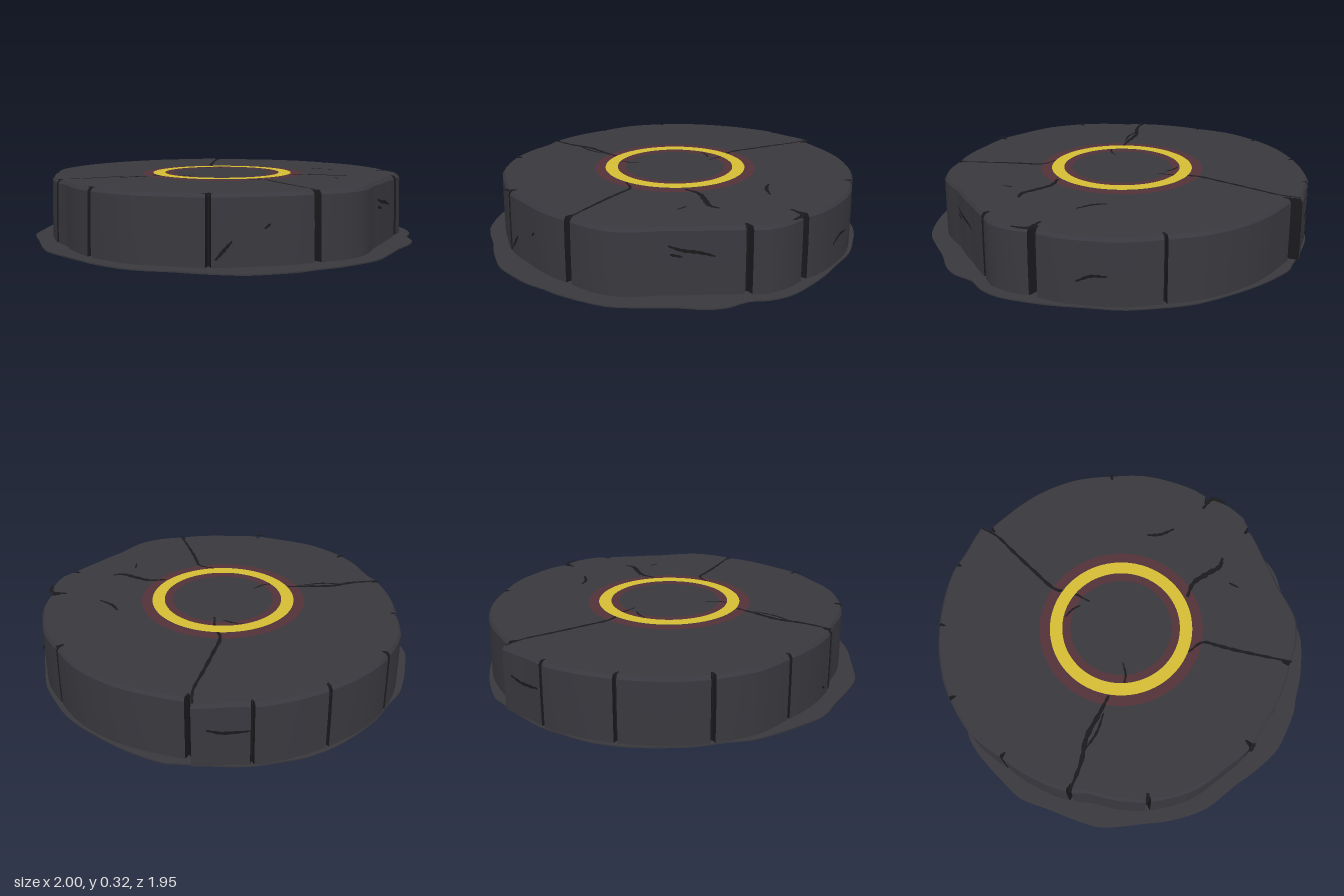
import * as THREE from 'three';
import { toCreasedNormals } from 'three/addons/utils/BufferGeometryUtils.js';

const mat = (name, color, side = THREE.FrontSide) => {
  const m = new THREE.MeshStandardMaterial({ color, side });
  m.name = name;
  return m;
};

// Outlines seen from above: x, z pairs in hundredths
const SKIRT = [-8, -98, 14, -97, 30, -92, 45, -87, 58, -81, 68, -75, 75, -67, 79, -58, 87, -50, 91, -41, 93, -29, 97, -15,
  100, 0, 97, 20, 93, 32, 90, 42, 83, 55, 77, 63, 64, 73, 54, 79, 38, 90, 20, 95, 6, 96, -12, 97, -21, 96, -34, 91,
  -45, 86, -59, 80, -69, 70, -77, 61, -85, 50, -89, 39, -95, 25, -98, 12, -100, -3, -99, -19, -95, -32, -90, -45,
  -80, -60, -72, -70, -67, -76, -50, -86, -32, -93, -18, -97];
const DRUM = [-3, -95.5, 16, -95, 32, -90, 43, -85, 52, -78, 62, -73, 70, -65, 73, -55, 78, -40, 84, -21, 91.5, -2,
  90, 11, 85.5, 22, 80.5, 35, 71, 50, 60, 65, 46, 75, 30, 85, 7, 89.5, -9, 88, -21, 84, -31, 83, -48, 76, -65, 64,
  -81, 51, -90, 36, -95, 24, -98, 8, -98.5, -5, -97, -21, -92, -40, -85, -51, -79, -63, -77, -66, -72, -65, -64, -72,
  -45, -86, -24, -94];
const toPoints = (a) => Array.from({ length: a.length / 2 }, (_, i) => new THREE.Vector2(a[2 * i] / 100, a[2 * i + 1] / 100));

// Radius of the drum outline at any angle
const polar = toPoints(DRUM).map((p) => [Math.atan2(p.y, p.x), p.length()]).sort((a, b) => a[0] - b[0]);
function radiusAt(t) {
  const a = Math.atan2(Math.sin(t), Math.cos(t)), n = polar.length;
  let i = polar.findIndex((p) => p[0] > a);
  if (i < 0) i = n;
  const p = polar[(i - 1 + n) % n], q = polar[i % n];
  const span = (q[0] - p[0] + 2 * Math.PI) % (2 * Math.PI);
  const f = ((a - p[0] + 2 * Math.PI) % (2 * Math.PI)) / span;
  return p[1] + (q[1] - p[1]) * f;
}

// Vertical grooves in the wall: x, z, half angle, depth
const GROOVES = [[-0.32, 0.83, 0.016, 0.03], [0.07, 0.9, 0.014, 0.03], [0.6, 0.65, 0.014, 0.03], [0.855, 0.23, 0.02, 0.035],
  [0.73, -0.57, 0.016, 0.03], [0.52, -0.78, 0.022, 0.04], [-0.03, -0.95, 0.009, 0.025], [-0.74, -0.655, 0.018, 0.04],
  [-0.98, -0.08, 0.009, 0.02], [-0.92, 0.33, 0.012, 0.025], [-0.65, 0.64, 0.01, 0.02], [-0.9, -0.43, 0.009, 0.02]]
  .map(([x, z, w, d]) => ({ t: Math.atan2(z, x), w, d }));

function drumRing() {
  const ring = [];
  for (let i = 0; i < 110; i++) {
    const t = -Math.PI + (i / 110) * 2 * Math.PI;
    if (GROOVES.every((g) => Math.abs(t - g.t) > g.w * 1.3)) ring.push({ t, r: radiusAt(t), cut: false });
  }
  for (const g of GROOVES) {
    for (const k of [-1, -0.35, 0.35, 1]) {
      const t = g.t + k * g.w;
      ring.push({ t, r: radiusAt(t) - (Math.abs(k) < 1 ? g.d : 0), cut: k < 1 });
    }
  }
  return ring.sort((a, b) => a.t - b.t);
}

// Wall rows (inset, height), with a worn bevel at the top
const ROWS = [[0, 0.006], [0.003, 0.16], [0.008, 0.305], [0.02, 0.321]];
function drumGeometries() {
  const ring = drumRing(), wall = [], cuts = [], top = [];
  const at = (p, [inset, y]) => [(p.r - inset) * Math.cos(p.t), y, (p.r - inset) * Math.sin(p.t)];
  ring.forEach((p, i) => {
    const q = ring[(i + 1) % ring.length], out = p.cut ? cuts : wall;
    for (let k = 0; k < ROWS.length - 1; k++) {
      const a = at(p, ROWS[k]), b = at(q, ROWS[k]), c = at(q, ROWS[k + 1]), d = at(p, ROWS[k + 1]);
      out.push(...a, ...d, ...c, ...a, ...c, ...b);
    }
    top.push(0, 0.321, 0, ...at(q, ROWS[3]), ...at(p, ROWS[3]));
  });
  return [wall, cuts, top].map((v) => {
    const g = new THREE.BufferGeometry();
    g.setAttribute('position', new THREE.Float32BufferAttribute(v, 3));
    return toCreasedNormals(g, 0.45);
  });
}

// Flat tapering strip along a path; place maps path points into space
function strip(path, width, place) {
  const curve = new THREE.CatmullRomCurve3(path.map(([u, v]) => new THREE.Vector3(u, v, 0)));
  const n = path.length * 4, pos = [], idx = [];
  for (let i = 0; i <= n; i++) {
    const p = curve.getPoint(i / n), t = curve.getTangent(i / n);
    const w = width * (0.15 + 0.85 * Math.sin(Math.PI * (0.12 + 0.76 * (i / n)))) * (0.8 + 0.2 * Math.sin(i * 2.3)) / 2;
    pos.push(...place(p.x - t.y * w, p.y + t.x * w), ...place(p.x + t.y * w, p.y - t.x * w));
    if (i < n) idx.push(2 * i, 2 * i + 1, 2 * i + 2, 2 * i + 1, 2 * i + 3, 2 * i + 2);
  }
  const g = new THREE.BufferGeometry();
  g.setAttribute('position', new THREE.Float32BufferAttribute(pos, 3));
  g.setIndex(idx);
  g.computeVertexNormals();
  return g;
}

// Cracks on the top face: width, then x, z points
const CRACKS = [
  [0.022, [-0.76, -0.64], [-0.68, -0.59], [-0.58, -0.48], [-0.47, -0.36], [-0.36, -0.25], [-0.28, -0.23], [-0.18, -0.17]],
  [0.034, [0.34, -0.17], [0.38, -0.25], [0.46, -0.3], [0.53, -0.34], [0.55, -0.39]],
  [0.022, [0.32, 0.14], [0.4, 0.09], [0.47, 0.11], [0.56, 0.14], [0.7, 0.18], [0.85, 0.22]],
  [0.03, [-0.1, 0.35], [-0.15, 0.44], [-0.22, 0.56], [-0.25, 0.68], [-0.31, 0.82]],
  [0.016, [-0.13, 0.44], [-0.17, 0.54], [-0.23, 0.62]],
  [0.014, [-0.02, 0.18], [-0.01, 0.25], [-0.03, 0.32]],
  [0.014, [-0.31, -0.09], [-0.27, -0.13], [-0.23, -0.15]],
  [0.022, [0.15, -0.55], [0.22, -0.55], [0.3, -0.58]],
  [0.014, [0.57, -0.24], [0.62, -0.21]],
  [0.03, [0.47, -0.7], [0.53, -0.76], [0.6, -0.73]],
  [0.02, [-0.03, -0.95], [-0.025, -0.91]],
  [0.025, [0.58, 0.67], [0.61, 0.63]],
  [0.02, [0.06, 0.89], [0.07, 0.85]],
  [0.015, [-0.97, -0.08], [-0.94, -0.07]],
];
// Scratches on the wall: width, then angle, height points
const SCRATCHES = [
  [0.02, [-0.27, 0.24], [-0.34, 0.22], [-0.42, 0.21], [-0.5, 0.19]],
  [0.016, [-0.28, 0.2], [-0.34, 0.19]],
  [0.02, [0.79, 0.04], [0.75, 0.08], [0.71, 0.12]],
  [0.014, [0.52, 0.19], [0.55, 0.17]],
  [0.014, [2.02, 0.05], [2.06, 0.07]],
  [0.02, [-2.5, 0.2], [-2.58, 0.18], [-2.68, 0.19]],
  [0.018, [-1.2, 0.12], [-1.27, 0.15], [-1.34, 0.15]],
];

export function createModel() {
  const model = new THREE.Group();
  model.name = 'stonePlatform';
  const stone = mat('dark stone', 0x38383e);
  const shadow = mat('crack black', 0x1a1a1d, THREE.DoubleSide);
  const yellow = mat('glow yellow', 0xd6bd35);
  const red = mat('glow red', 0x523238);
  const add = (name, geometry, material, parent = model) => {
    const mesh = new THREE.Mesh(geometry, material);
    mesh.name = name;
    parent.add(mesh);
    return mesh;
  };

  // Thin ragged skirt on the ground
  const outline = new THREE.SplineCurve([...toPoints(SKIRT), toPoints(SKIRT)[0]]).getPoints(132);
  const skirt = new THREE.ExtrudeGeometry(new THREE.Shape(outline), { depth: 0.006, bevelEnabled: false });
  skirt.rotateX(Math.PI / 2).translate(0, 0.006, 0);
  add('groundSkirt', skirt, stone);

  // Stone drum
  const [wall, cuts, top] = drumGeometries();
  add('drumWall', wall, stone);
  add('wallGrooves', cuts, shadow);
  add('drumTop', top, stone);

  // Glowing inlaid ring with a faint halo on both sides
  const ring = (name, inner, outer, y, material) =>
    add(name, new THREE.RingGeometry(inner, outer, 72).rotateX(-Math.PI / 2), material).position.set(-0.02, y, -0.018);
  ring('outerHalo', 0.372, 0.428, 0.3225, red);
  ring('glowRing', 0.308, 0.373, 0.325, yellow);
  ring('innerHalo', 0.265, 0.309, 0.3225, red);

  // Cracks and scratches
  const marks = new THREE.Group();
  marks.name = 'cracks';
  model.add(marks);
  for (const [w, ...path] of CRACKS) add('topCrack', strip(path, w, (x, z) => [x, 0.3238, z]), shadow, marks);
  for (const [w, ...path] of SCRATCHES) {
    add('wallScratch', strip(path, w, (t, y) => {
      const r = radiusAt(t) + 0.003;
      return [r * Math.cos(t), y, r * Math.sin(t)];
    }), shadow, marks);
  }
  return model;
}
